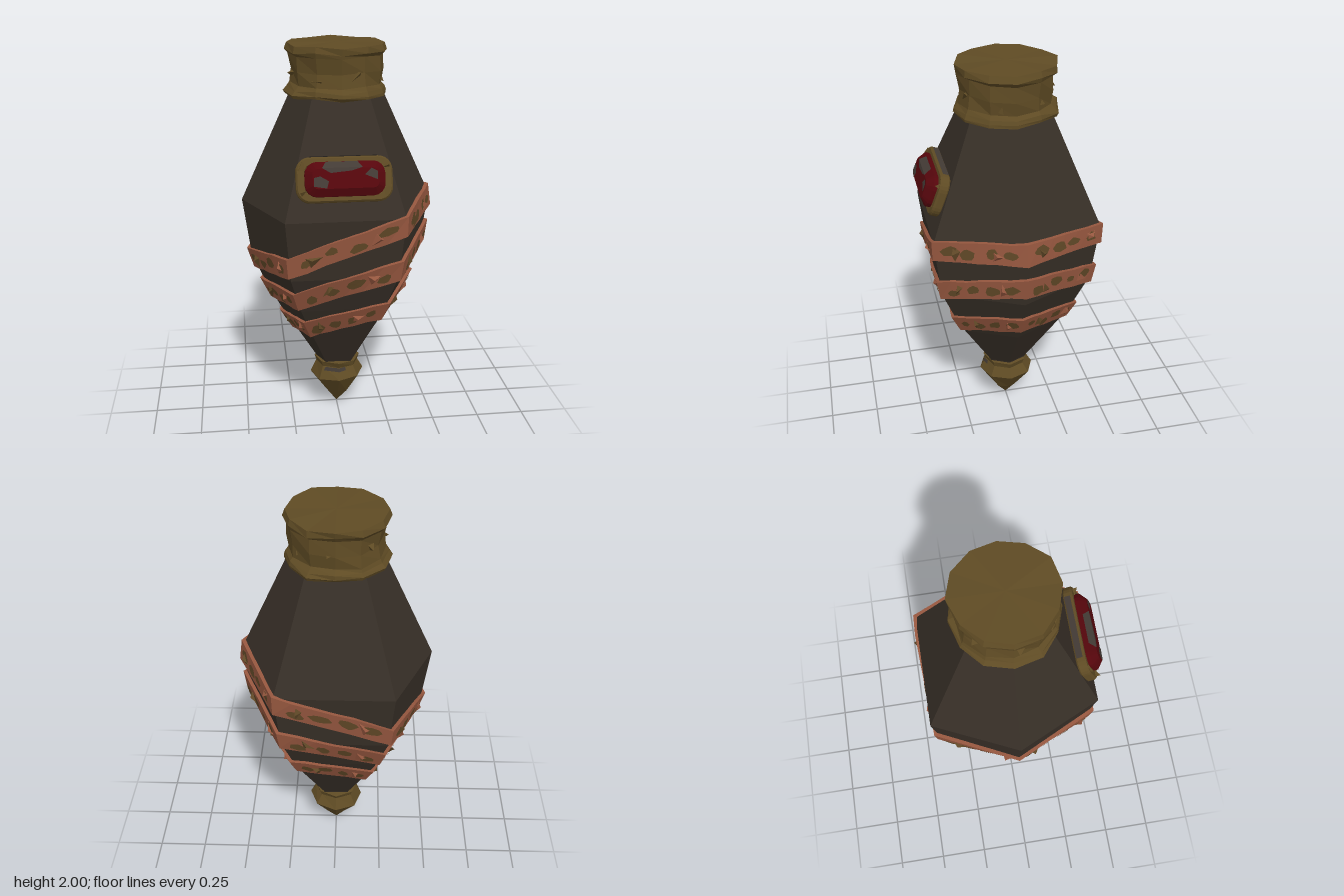
import * as THREE from 'three';

const paint = (name, color, side = THREE.FrontSide) => {
  const m = new THREE.MeshStandardMaterial({ color, side });
  m.name = name;
  return m;
};

// Body radius at each height, bottom to top
const PROFILE = [[0.24, 0.09], [0.3, 0.115], [0.6, 0.3], [0.7, 0.355], [0.9, 0.445], [1.21, 0.487], [1.77, 0.228]];
const CORNERS = [[1, 0], [0.6, 0.86], [-0.6, 0.86], [-1, 0], [-0.6, -0.86], [0.6, -0.86]];

function radiusAt(y) {
  let i = 1;
  while (i < PROFILE.length - 1 && y > PROFILE[i][0]) i++;
  const [a, b] = [PROFILE[i - 1], PROFILE[i]];
  return THREE.MathUtils.mapLinear(y, a[0], b[0], a[1], b[1]);
}

// Point on a six-sided ring: u counts corners around it
function onHex(u, y, r) {
  u = (u + 6) % 6;
  const k = Math.floor(u), f = u - k;
  const a = CORNERS[k], b = CORNERS[(k + 1) % 6];
  return [(a[0] + (b[0] - a[0]) * f) * r, y, (a[1] + (b[1] - a[1]) * f) * r];
}

// Flat-shaded geometry from a list of triangles' points
function facets(points) {
  const g = new THREE.BufferGeometry();
  g.setAttribute('position', new THREE.Float32BufferAttribute(points.flat(), 3));
  g.computeVertexNormals();
  return g;
}

// Skin between closed cross-sections
function loft(rings, closeLoft) {
  const pts = [], n = rings.length, m = rings[0].length;
  for (let i = 0; i < (closeLoft ? n : n - 1); i++) {
    const p = rings[i], q = rings[(i + 1) % n];
    for (let j = 0; j < m; j++) {
      const k = (j + 1) % m;
      pts.push(p[j], q[j], q[k], p[j], q[k], p[k]);
    }
  }
  return facets(pts);
}

// Hammered metal: turned shape with slightly uneven corners
function hammered(profile, sides, amount) {
  const g = new THREE.LatheGeometry(profile.map(p => new THREE.Vector2(...p)), sides).toNonIndexed();
  const p = g.attributes.position;
  for (let i = 0; i < p.count; i++) {
    const x = p.getX(i), y = p.getY(i), z = p.getZ(i);
    if (Math.hypot(x, z) < 0.02) continue;
    const s = 1 + amount * Math.sin(x * 91 + y * 57 + z * 73);
    p.setXYZ(i, x * s, Math.min(2, y + 0.006 * Math.sin(x * 47 - z * 83)), z * s);
  }
  g.computeVertexNormals();
  return g;
}

function roundedRect(w, h, r, Type = THREE.Shape) {
  const s = new Type();
  s.absarc(w - r, h - r, r, 0, Math.PI / 2);
  s.absarc(-w + r, h - r, r, Math.PI / 2, Math.PI);
  s.absarc(-w + r, -h + r, r, Math.PI, Math.PI * 1.5);
  s.absarc(w - r, -h + r, r, Math.PI * 1.5, Math.PI * 2);
  s.closePath();
  return s;
}

export function createModel() {
  const model = new THREE.Group();
  const dark = paint('dark wood', 0x372f27);
  const brass = paint('old brass', 0x5f4b24);
  const copper = paint('copper', 0x96573f);
  const patina = paint('patina', 0x604827, THREE.DoubleSide);
  const red = paint('red glass', 0x56060c);
  const grey = paint('worn grey', 0x433b35, THREE.DoubleSide);
  const add = (name, geometry, material, parent = model) => {
    const mesh = new THREE.Mesh(geometry, material);
    mesh.name = name;
    parent.add(mesh);
    return mesh;
  };
  let seed = 7;
  const rand = (lo, hi) => {
    seed = (seed * 16807) % 2147483647;
    return lo + (hi - lo) * seed / 2147483647;
  };

  // Six-sided body
  add('body', loft(PROFILE.map(([y, r]) => CORNERS.map((c, i) => onHex(i, y, r))), false), dark);

  // Brass neck with flange, rim and flat lid
  add('neck', hammered([[0, 1.75], [0.25, 1.75], [0.258, 1.765], [0.25, 1.785], [0.232, 1.805], [0.229, 1.87],
    [0.233, 1.945], [0.249, 1.965], [0.247, 1.998], [0, 1.998]], 12, 0.03), brass);
  // Brass tip
  add('tip', hammered([[0, 0], [0.07, 0.09], [0.148, 0.2], [0.115, 0.26], [0.125, 0.29], [0, 0.305]], 8, 0.035), brass);

  // Shallow dents on the neck
  for (let i = 0; i < 7; i++) {
    const chip = add('neckChip', new THREE.TetrahedronGeometry(0.036), brass);
    const a = i * 0.9 + 0.35;
    chip.position.set(Math.sin(a) * 0.21, 1.86 + 0.03 * Math.sin(i * 5), Math.cos(a) * 0.21);
    chip.rotation.set(i, i * 2, i * 3);
  }

  // Three slanting copper bands; heights at right point, right, left and left point
  const HALF = 0.054;
  const bands = [[1.205, 1.175, 0.97, 0.89], [1.01, 0.935, 0.77, 0.715], [0.73, 0.68, 0.575, 0.525]];
  bands.forEach((h, b) => {
    const group = new THREE.Group();
    group.name = 'band' + (b + 1);
    model.add(group);
    const ys = [h[0], h[1], h[2], h[3], h[2], h[1]];

    // Point on the band: t runs from -1 at its lower edge to 1 at its upper edge
    const onBand = (u, t, off) => {
      const k = Math.floor(u);
      const y = THREE.MathUtils.lerp(ys[k], ys[(k + 1) % 6], u - k);
      const r = THREE.MathUtils.lerp(radiusAt(y - HALF), radiusAt(y + HALF), (t + 1) / 2);
      return onHex(u, y + t * HALF, r + off);
    };
    const rings = [];
    for (let i = 0; i < 36; i++) {
      const u = i / 6, lo = -1 + rand(-0.08, 0.08), hi = 1 + rand(-0.08, 0.08);
      rings.push([onBand(u, hi, -0.025), onBand(u, hi, 0.02), onBand(u, lo, 0.02), onBand(u, lo, -0.025)]);
    }
    add('strap', loft(rings, true), copper, group);

    // Irregular fan-shaped spot lying on the band, with its middle raised
    const spot = (u, t, w, h, off, raise, sides) => {
      const pts = [], rim = [];
      for (let i = 0; i < sides; i++) {
        const a = (i + rand(-0.3, 0.3)) / sides * Math.PI * 2, r = rand(0.7, 1.1);
        const v = THREE.MathUtils.clamp(t + Math.sin(a) * r * h, -0.92, 0.92);
        rim.push(onBand(u - Math.cos(a) * r * w, v, off));
      }
      const mid = onBand(u, t, off + raise);
      rim.forEach((p, i) => pts.push(mid, p, rim[(i + 1) % sides]));
      return facets(pts);
    };

    // Patina spots and raised chips on every side
    for (let side = 0; side < 6; side++) {
      for (let j = 0; j < 4; j++) {
        const u = side + 0.16 + j * 0.225 + rand(-0.02, 0.02);
        add('patinaSpot', spot(u, rand(-0.35, 0.35), rand(0.06, 0.11), rand(0.4, 0.62), 0.025, 0, 8), patina, group);
      }
      for (let j = 0; j < 2; j++) {
        const u = side + 0.17 + j * 0.48 + rand(0, 0.16);
        add('chip', spot(u, rand(-0.2, 0.2), 0.08, 0.85, 0.019, 0.024, 3), j ? patina : copper, group);
      }
    }
  });

  // Red gem in a brass frame, leaning with the front face
  const gem = new THREE.Group();
  gem.name = 'gemSetting';
  gem.position.set(-0.005, 1.398, 0.35);
  gem.rotation.x = -0.36;
  model.add(gem);
  const extrude = (shape, depth, bevel, size, segments) => {
    const g = new THREE.ExtrudeGeometry(shape, {
      depth, bevelThickness: bevel, bevelSize: size, bevelSegments: 1, curveSegments: segments,
    });
    g.computeVertexNormals();
    return g;
  };
  const frame = roundedRect(0.222, 0.1, 0.06);
  frame.holes.push(roundedRect(0.19, 0.076, 0.04, THREE.Path));
  add('gemFrame', extrude(frame, 0.03, 0.01, 0.008, 3), brass, gem);
  add('gem', extrude(roundedRect(0.155, 0.047, 0.025), 0.06, 0.03, 0.035, 2), red, gem);

  // Thin worn flakes
  const flake = (parent, ...pts) => {
    const tris = [];
    for (let i = 1; i < pts.length - 1; i++) tris.push(pts[0], pts[i], pts[i + 1]);
    add('wornFlake', facets(tris), grey, parent);
  };
  // On the gem's upper bevel and face
  flake(gem, [-0.11, 0.05, 0.092], [0.08, 0.05, 0.092], [0.06, 0.081, 0.066], [-0.09, 0.081, 0.066]);
  flake(gem, [-0.11, 0.05, 0.092], [-0.07, 0.026, 0.092], [0.03, 0.035, 0.092], [0.08, 0.05, 0.092]);
  flake(gem, [-0.152, -0.035, 0.093], [-0.09, -0.045, 0.093], [-0.08, -0.012, 0.093], [-0.12, 0.012, 0.093], [-0.15, 0.005, 0.093]);
  flake(gem, [0.09, 0.015, 0.093], [0.15, -0.01, 0.093], [0.15, 0.03, 0.093], [0.12, 0.045, 0.093]);
  // Along the top of the frame
  flake(gem, [-0.16, 0.111, 0], [-0.16, 0.111, 0.03], [0.16, 0.111, 0.03], [0.16, 0.111, 0]);
  // Around the collar of the tip
  flake(model, [-0.08, 0.245, 0.098], [0, 0.245, 0.13], [0, 0.265, 0.124], [-0.07, 0.265, 0.097]);
  flake(model, [0, 0.245, 0.13], [0.04, 0.247, 0.114], [0.035, 0.265, 0.11], [0, 0.265, 0.124]);

  // Brass clasps at the corners of the frame
  for (const x of [-1, 1]) {
    for (const y of [-1, 1]) {
      const clasp = add('clasp', new THREE.TetrahedronGeometry(0.032), brass, gem);
      clasp.position.set(x * 0.2, y * 0.06, 0.033);
      clasp.rotation.set(x, y, x * y);
    }
  }
  return model;
}
